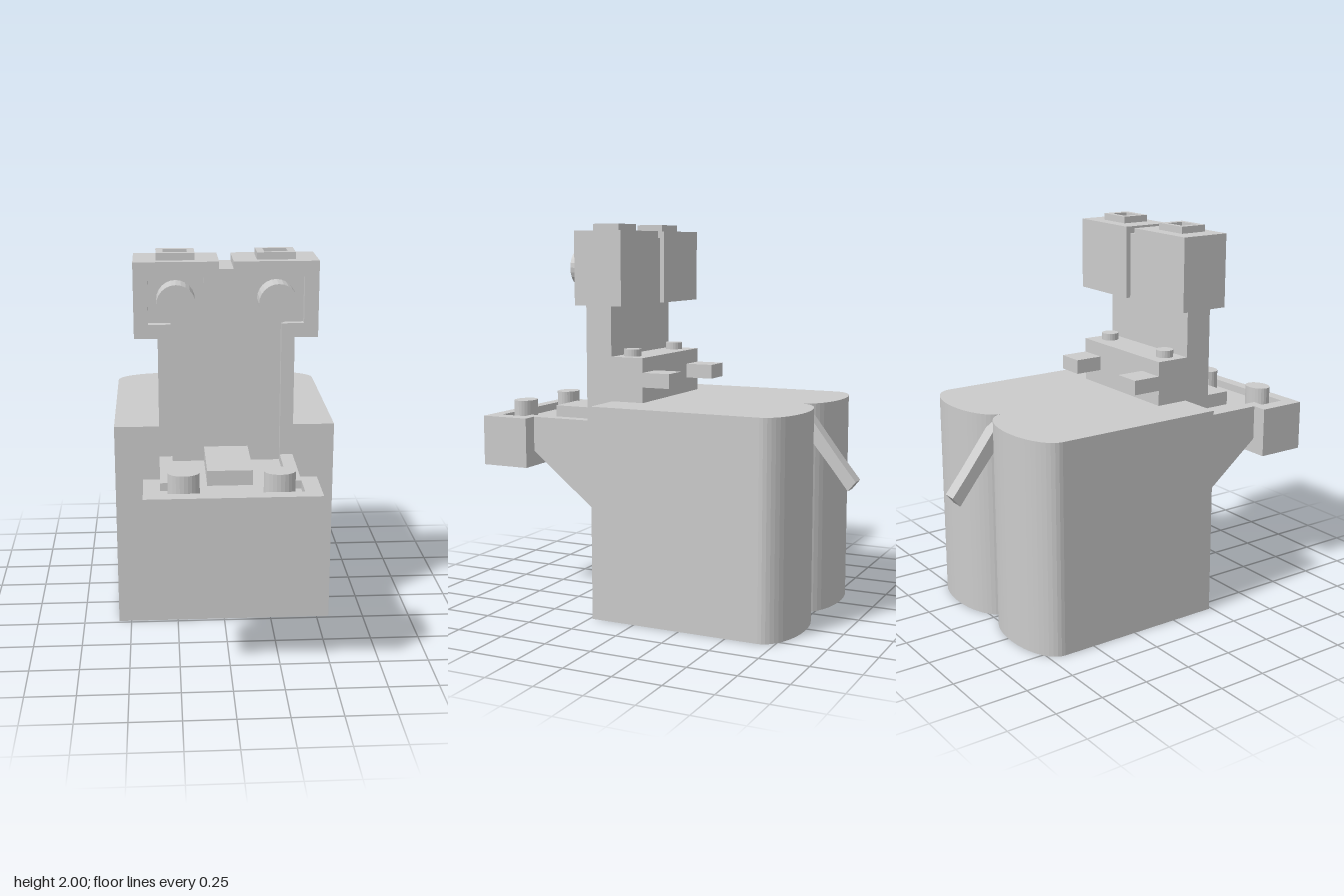
import * as THREE from 'three';

const material = new THREE.MeshStandardMaterial({ color: 0xcccccc, flatShading: true });

function polygon(points) {
  return new THREE.Shape(points.map(([x, y]) => new THREE.Vector2(x, y)));
}

// Closes a half outline (x > 0) with its mirror image
function mirrored(half) {
  return polygon([...half, ...half.map(([x, y]) => [-x, y]).reverse()]);
}

function extrude(shape, depth) {
  return new THREE.ExtrudeGeometry(shape, { depth, bevelEnabled: false, curveSegments: 12 });
}

// Plan shape drawn as (x, -z), raised from y0 to y1
function fromPlan(shape, y0, y1) {
  return extrude(shape, y1 - y0).rotateX(-Math.PI / 2).translate(0, y0, 0);
}

// Side profile drawn as (z, y), centred on x = 0
function fromSide(points, width) {
  return extrude(polygon(points), width).rotateY(-Math.PI / 2).translate(width / 2, 0, 0);
}

function box(x0, x1, y0, y1, z0, z1) {
  return new THREE.BoxGeometry(x1 - x0, y1 - y0, z1 - z0)
    .translate((x0 + x1) / 2, (y0 + y1) / 2, (z0 + z1) / 2);
}

export function createModel() {
  const model = new THREE.Group();
  const add = (name, geometry) => {
    const mesh = new THREE.Mesh(geometry, material);
    mesh.name = name;
    model.add(mesh);
  };
  // Adds a left part and its mirrored right part
  const addPair = (name, make) => {
    add('left' + name, make(1));
    add('right' + name, make(-1));
  };
  const pairBox = (s, x0, x1, ...rest) => (s > 0 ? box(x0, x1, ...rest) : box(-x1, -x0, ...rest));

  // Body with two rounded lobes at the back
  const plan = new THREE.Shape();
  plan.moveTo(-0.565, -0.235);
  plan.lineTo(0.565, -0.235);
  plan.lineTo(0.565, 0.67);
  plan.absellipse(0.2825, 0.67, 0.2825, 0.14, 0, Math.PI, false);
  plan.absellipse(-0.2825, 0.67, 0.2825, 0.14, 0, Math.PI, false);
  plan.closePath();
  add('body', fromPlan(plan, 0, 1.095));

  // Jaw bracket, neck and shoulder step in one profile
  add('neckAndJaw', fromSide([
    [0.23, 0.416], [0.715, 0.8], [0.715, 0.945], [0.345, 0.945], [0.345, 1.6],
    [0.24, 1.6], [0.24, 1.325], [0.06, 1.325], [0.06, 1.09], [0.23, 1.09],
  ], 0.67));

  // Muzzle, with a raised rim around the jaw floor
  add('muzzle', box(-0.415, 0.415, 0.72, 0.945, 0.715, 0.98));
  const jawOuter = [[0.335, -0.385], [0.335, -0.715], [0.415, -0.715], [0.415, -0.98]];
  const jawInner = [[0.335, -0.915], [0.335, -0.77], [0.27, -0.77], [0.27, -0.385]];
  const flip = ([x, y]) => [-x, y];
  add('jawRim', fromPlan(polygon([
    ...jawOuter, ...jawOuter.map(flip).reverse(),
    ...jawInner.map(flip).reverse(), ...jawInner,
  ]), 0.945, 0.985));
  add('tongue', box(-0.11, 0.11, 0.94, 1.02, 0.34, 0.71));

  // Head halves, joined by a sunken centre strip
  addPair('HeadBlock', (s) => pairBox(s, 0.035, 0.45, 1.59, 1.965, 0.12, 0.345));
  add('headCentre', box(-0.035, 0.035, 1.59, 1.93, 0.145, 0.345));

  // Raised rim framing the face and neck
  const faceOuter = [[0.335, 0.945], [0.335, 1.59], [0.45, 1.59], [0.45, 1.965], [0.035, 1.965], [0.035, 1.93]];
  const faceInner = [[0.11, 1.855], [0.11, 1.89], [0.38, 1.89], [0.38, 1.66], [0.27, 1.66], [0.27, 0.945]];
  add('faceRim', extrude(polygon([
    ...faceOuter, ...faceOuter.map(flip).reverse(),
    ...faceInner.map(flip).reverse(), ...faceInner,
  ]), 0.04).translate(0, 0, 0.345));

  // Eyes and nostrils
  addPair('Eye', (s) => new THREE.CylinderGeometry(0.094, 0.094, 0.135, 24)
    .rotateX(Math.PI / 2).translate(s * 0.245, 1.777, 0.4075));
  addPair('Nostril', (s) => new THREE.CylinderGeometry(0.075, 0.075, 0.12, 24)
    .scale(1, 1, 0.78).translate(s * 0.225, 1, 0.832));

  // Square hollow ears
  addPair('Ear', (s) => {
    const x = s * 0.245;
    const ear = polygon([[x - 0.094, -0.337], [x + 0.094, -0.337], [x + 0.094, -0.19], [x - 0.094, -0.19]]);
    ear.holes.push(new THREE.Path(polygon(
      [[x - 0.058, -0.31], [x - 0.058, -0.217], [x + 0.058, -0.217], [x + 0.058, -0.31]]).getPoints()));
    return fromPlan(ear, 1.965, 2);
  });

  // Pegs and buttons on the shoulder step
  addPair('Peg', (s) => pairBox(s, 0.19, 0.335, 1.175, 1.25, -0.09, 0.065));
  addPair('Button', (s) => new THREE.CylinderGeometry(0.045, 0.045, 0.045, 20)
    .translate(s * 0.245, 1.3395, 0.163));

  // Tail slanting down out of the cleft, with a short tip
  add('tail', fromSide([[-0.64, 1.04], [-0.85, 0.785], [-0.893, 0.828], [-0.69, 1.094], [-0.64, 1.094]], 0.076));
  add('tailTip', fromSide([[-0.85, 0.785], [-0.94, 0.67], [-0.98, 0.72], [-0.893, 0.828]], 0.076));

  return model;
}
